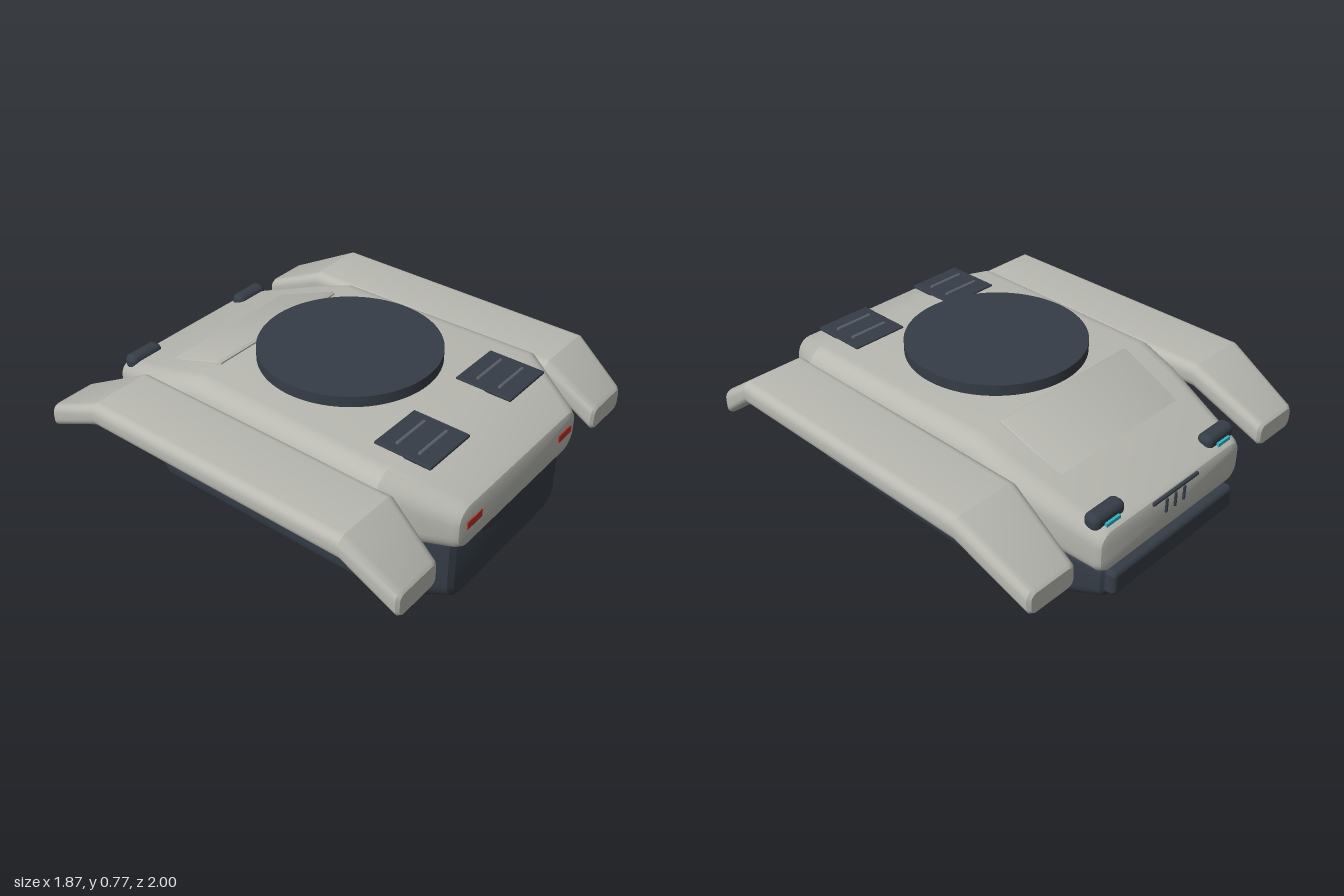
import * as THREE from 'three';
import { toCreasedNormals } from 'three/addons/utils/BufferGeometryUtils.js';
import { RoundedBoxGeometry } from 'three/addons/geometries/RoundedBoxGeometry.js';

const material = (color) => new THREE.MeshStandardMaterial({ color });

// Outline of a rounded rectangle, anticlockwise seen from +z
function outline([, w, y0, y1, rBottom, rTop = rBottom], steps = 6) {
  const points = [];
  const corners = [
    [w, y0, rBottom, -1, 1], [w, y1, rTop, -1, -1],
    [-w, y1, rTop, 1, -1], [-w, y0, rBottom, 1, 1],
  ];
  corners.forEach(([x, y, r, sx, sy], c) => {
    for (let i = 0; i <= steps; i++) {
      const a = (c - 1 + i / steps) * Math.PI / 2;
      points.push([x + sx * r + r * Math.cos(a), y + sy * r + r * Math.sin(a)]);
    }
  });
  return points;
}

// Closed loft through sections [z, halfWidth, bottom, top, radius, topRadius], front to back
function loft(sections, crease = 0.45) {
  const pos = [], index = [];
  const rings = sections.map((s) => outline(s));
  const n = rings[0].length;
  rings.forEach((ring, k) => ring.forEach(([x, y]) => pos.push(x, y, sections[k][0])));
  for (let k = 0; k < rings.length - 1; k++) {
    for (let i = 0; i < n; i++) {
      const a = k * n + i, b = k * n + (i + 1) % n;
      index.push(a, a + n, b, b, a + n, b + n);
    }
  }
  [0, sections.length - 1].forEach((k) => {
    const [z, , y0, y1] = sections[k];
    const center = pos.length / 3;
    pos.push(0, (y0 + y1) / 2, z);
    for (let i = 0; i < n; i++) {
      const a = k * n + i, b = k * n + (i + 1) % n;
      index.push(center, ...(k === 0 ? [a, b] : [b, a]));
    }
  });
  const geometry = new THREE.BufferGeometry();
  geometry.setAttribute('position', new THREE.Float32BufferAttribute(pos, 3));
  geometry.setIndex(index);
  return toCreasedNormals(geometry, crease);
}

export function createModel() {
  const model = new THREE.Group();
  model.name = 'armouredHull';
  const shellMat = material(0xb9b9b2);
  const darkMat = material(0x353d46);
  const barMat = material(0x59616a);
  const redMat = material(0xb83226);
  const cyanMat = material(0x2fb4c6);

  const add = (name, geometry, mat, x = 0, y = 0, z = 0, parent = model) => {
    const mesh = new THREE.Mesh(geometry, mat);
    mesh.name = name;
    mesh.position.set(x, y, z);
    parent.add(mesh);
    return mesh;
  };

  // Dark lower hull, tapered at both ends
  add('lowerHull', loft([
    [0.945, 0.41, 0.05, 0.36, 0.08, 0.03],
    [0.93, 0.44, 0.03, 0.38, 0.1, 0.03],
    [0.68, 0.575, 0, 0.38, 0.1, 0.03],
    [-0.57, 0.575, 0, 0.38, 0.1, 0.03],
    [-0.94, 0.43, 0.1, 0.27, 0.06, 0.03],
    [-0.955, 0.41, 0.115, 0.25, 0.05, 0.03],
  ]), darkMat);
  add('rearBumper', new RoundedBoxGeometry(0.83, 0.125, 0.07, 4, 0.025), darkMat, 0, 0.2, -0.965);

  // Light upper shell
  add('upperShell', loft([
    [0.985, 0.43, 0.39, 0.545, 0.05],
    [0.978, 0.46, 0.365, 0.565, 0.07],
    [0.955, 0.48, 0.352, 0.58, 0.085],
    [0.68, 0.615, 0.35, 0.69, 0.1],
    [-0.35, 0.597, 0.35, 0.69, 0.1],
    [-0.52, 0.585, 0.34, 0.635, 0.1],
    [-0.945, 0.48, 0.265, 0.485, 0.07],
    [-0.965, 0.465, 0.275, 0.47, 0.06],
    [-0.973, 0.44, 0.295, 0.45, 0.05],
  ]), shellMat);

  // Sloping panel that rises out of the rear deck
  add('rearDeckPanel', loft([
    [-0.342, 0.405, 0.62, 0.697, 0.008],
    [-0.355, 0.41, 0.62, 0.704, 0.01],
    [-0.8, 0.38, 0.5, 0.532, 0.01],
  ]), shellMat);

  // Floating turret disc
  add('turretDisc', new THREE.CylinderGeometry(0.42, 0.42, 0.052, 96), darkMat, 0, 0.741, 0.072);

  const fenderGeometry = loft([
    [0.995, 0.118, 0.345, 0.45, 0.03],
    [0.983, 0.132, 0.34, 0.468, 0.04],
    [0.745, 0.175, 0.52, 0.635, 0.045],
    [-0.615, 0.175, 0.52, 0.635, 0.045],
    [-0.96, 0.132, 0.342, 0.46, 0.04],
    [-0.973, 0.118, 0.348, 0.445, 0.03],
  ]);
  const gripGeometry = new THREE.CapsuleGeometry(0.009, 0.185, 4, 10).rotateZ(Math.PI / 2);

  for (const [side, s] of [['left', 1], ['right', -1]]) {
    add(side + 'Fender', fenderGeometry, shellMat, s * 0.758);

    // Deck hatch with two ribs
    const hatch = new THREE.Group();
    hatch.name = side + 'Hatch';
    hatch.position.set(s * 0.298, 0.69, 0.675);
    model.add(hatch);
    add('hatchPlate', new RoundedBoxGeometry(0.285, 0.016, 0.28, 2, 0.006), darkMat, 0, 0, 0, hatch);
    for (const z of [-0.055, 0.055]) add('hatchRib', gripGeometry, barMat, 0, 0.01, z, hatch);

    // Front marker light
    add(side + 'FrontLight', new THREE.BoxGeometry(0.106, 0.038, 0.02), redMat, s * 0.363, 0.478, 0.98);

    // Rear lamp pod with glowing strip
    add(side + 'LampPod', new RoundedBoxGeometry(0.19, 0.075, 0.077, 5, 0.03), darkMat, s * 0.375, 0.503, -0.897);
    add(side + 'LampStrip', new THREE.BoxGeometry(0.085, 0.022, 0.02), cyanMat, s * 0.375, 0.489, -0.938);
  }

  // Rear vent: one bar above three upright slots
  add('rearVentBar', new RoundedBoxGeometry(0.31, 0.016, 0.022, 2, 0.006), darkMat, 0, 0.457, -0.969);
  for (const x of [-0.06, 0, 0.06]) {
    add('rearVentSlot', new THREE.CapsuleGeometry(0.008, 0.06, 4, 10), darkMat, x, 0.405, -0.974);
  }

  return model;
}
